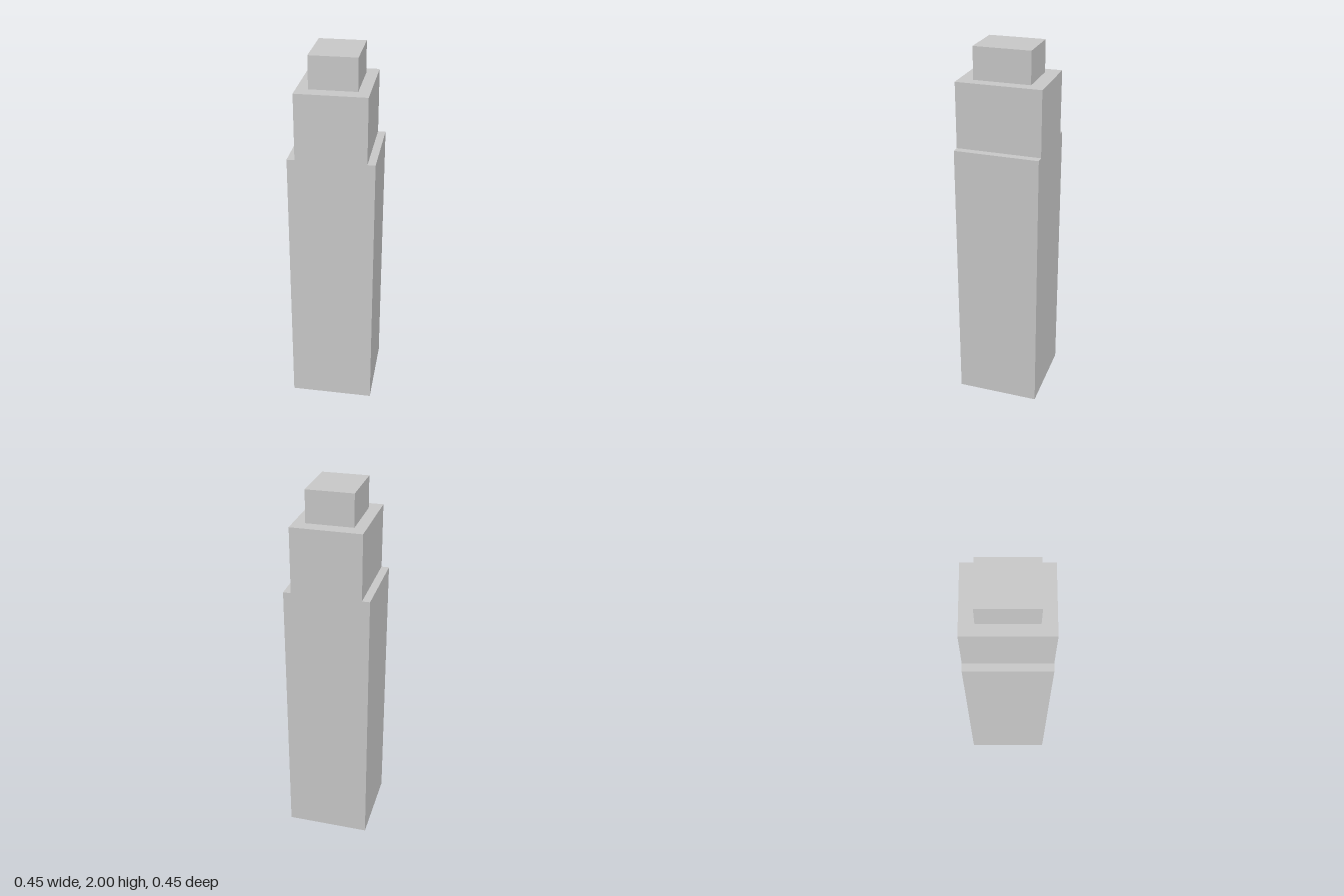
import * as THREE from 'three';

const material = new THREE.MeshStandardMaterial({ color: 0xcccccc, flatShading: true });

const HALF = 0.226;        // half width and half depth of the tower
const SHOULDER = 0.185;    // half width of the set-back tier
const SHOULDER_Y = 1.48;
const ROOF_Y = 1.83;
const TOP_Y = 2;

export function createModel() {
  const model = new THREE.Group();
  model.name = 'steppedTower';

  // Tower: stepped outline, set back on the sides only, flush at front and back
  const outline = new THREE.Shape([
    [-HALF, 0], [HALF, 0], [HALF, SHOULDER_Y], [SHOULDER, SHOULDER_Y],
    [SHOULDER, ROOF_Y], [-SHOULDER, ROOF_Y], [-SHOULDER, SHOULDER_Y], [-HALF, SHOULDER_Y],
  ].map(([x, y]) => new THREE.Vector2(x, y)));
  const towerGeometry = new THREE.ExtrudeGeometry(outline, { depth: 2 * HALF, bevelEnabled: false });
  towerGeometry.translate(0, 0, -HALF);
  const tower = new THREE.Mesh(towerGeometry, material);
  tower.name = 'tower';
  model.add(tower);

  // Penthouse block on the roof
  const penthouse = new THREE.Mesh(new THREE.BoxGeometry(0.248, TOP_Y - ROOF_Y, 0.302), material);
  penthouse.name = 'penthouse';
  penthouse.position.y = (TOP_Y + ROOF_Y) / 2;
  model.add(penthouse);

  return model;
}
